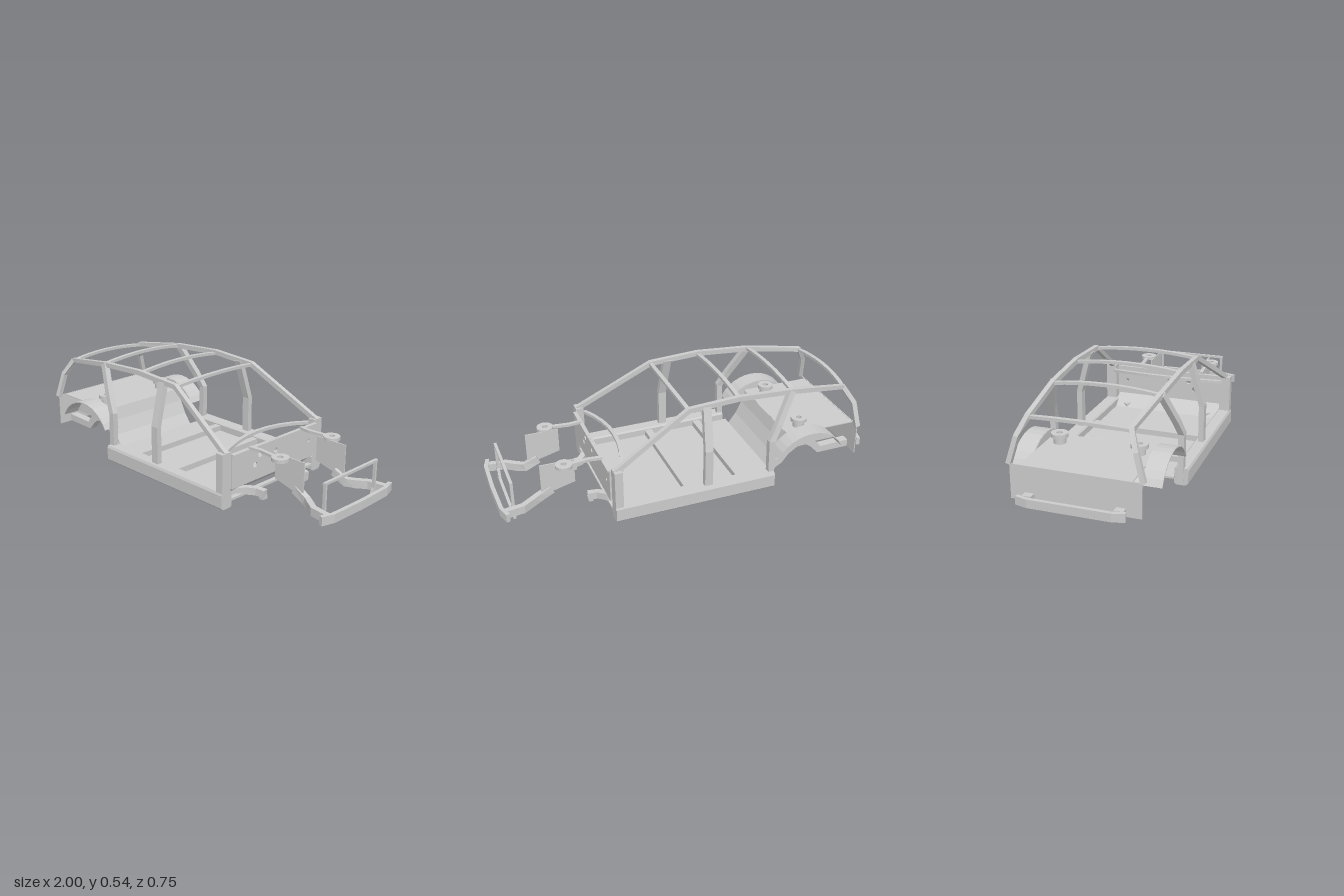
import * as THREE from 'three';

const mat = new THREE.MeshStandardMaterial({ color: 0xcccccc, flatShading: true, side: THREE.DoubleSide });
const Y = new THREE.Vector3(0, 1, 0), Z = new THREE.Vector3(0, 0, 1);

export function createModel() {
  const root = new THREE.Group();
  const add = (name, geo) => {
    const m = new THREE.Mesh(geo, mat);
    m.name = name;
    root.add(m);
    return m;
  };

  // rectangular section swept along a polyline: w across "up", h along it
  function beamGeo(path, w, h, up) {
    const p = path.map(a => new THREE.Vector3(...a)), pos = [], idx = [];
    p.forEach((c, i) => {
      const a = c.clone().sub(p[Math.max(i - 1, 0)]).normalize();
      const b = p[Math.min(i + 1, p.length - 1)].clone().sub(c).normalize();
      const t = a.add(b).normalize();
      const s = t.clone().cross(up).normalize(), n = s.clone().cross(t);
      for (const [u, v] of [[1, 1], [-1, 1], [-1, -1], [1, -1]]) {
        const q = c.clone().addScaledVector(s, u * w / 2).addScaledVector(n, v * h / 2);
        pos.push(q.x, q.y, q.z);
      }
      if (i === p.length - 1) return;
      for (let j = 0; j < 4; j++) {
        const k = (j + 1) % 4, o = i * 4;
        idx.push(o + j, o + 4 + j, o + k, o + k, o + 4 + j, o + 4 + k);
      }
    });
    const e = (p.length - 1) * 4;
    idx.push(0, 1, 2, 0, 2, 3, e, e + 2, e + 1, e, e + 3, e + 2);
    let g = new THREE.BufferGeometry();
    g.setAttribute('position', new THREE.Float32BufferAttribute(pos, 3));
    g.setIndex(idx);
    g = g.toNonIndexed();
    g.computeVertexNormals();
    return g;
  }
  const beam = (name, path, w, h, up = Y) => add(name, beamGeo(path, w, h, up));
  const pair = (name, path, w, h, up = Y) => [1, -1].forEach(s =>
    beam((s > 0 ? 'nearSide ' : 'farSide ') + name, path.map(([x, y, z]) => [x, y, z * s]), w, h, up));
  const box = (name, x0, x1, y0, y1, z0, z1) =>
    add(name, new THREE.BoxGeometry(x1 - x0, y1 - y0, z1 - z0))
      .position.set((x0 + x1) / 2, (y0 + y1) / 2, (z0 + z1) / 2);
  const shapeOf = pts => new THREE.Shape(pts.map(a => new THREE.Vector2(...a)));
  const extrude = (shape, depth) => new THREE.ExtrudeGeometry(shape, { depth, bevelEnabled: false, curveSegments: 12 });
  // gently arched bar running from side to side
  const arch = (name, x, y, halfZ, rise, bow, w, h) => beam(name,
    Array.from({ length: 9 }, (_, i) => {
      const u = i / 4 - 1, k = 1 - u * u;
      return [x + bow * k, y + rise * k, u * halfZ];
    }), w, h);

  // sills, chamfered along the bottom
  for (const s of [1, -1]) {
    const g = extrude(shapeOf([[0.302, 0.012], [0.312, 0.003], [0.36, 0.003], [0.373, 0.015],
      [0.373, 0.08], [0.367, 0.093], [0.31, 0.093], [0.302, 0.085]].map(([z, y]) => [-z * s, y])), 0.865);
    g.rotateY(Math.PI / 2);
    add('sill', g).position.x = -0.41;
  }

  // floor with toe board and cross members
  beam('floor', [[-0.43, 0.045, 0], [0.39, 0.045, 0], [0.46, 0.11, 0]], 0.61, 0.01);
  box('frontFloorEdge', 0.43, 0.455, 0.035, 0.047, -0.31, 0.31);
  for (const x of [-0.24, 0.05]) box('floorCrossMember', x - 0.02, x + 0.02, 0.047, 0.08, -0.305, 0.305);
  box('rearCrossMember', -0.475, -0.445, 0.032, 0.055, -0.25, 0.25);

  // firewall with openings
  const wall = shapeOf([[-0.312, 0.1], [0.312, 0.1], [0.312, 0.272], [0, 0.28], [-0.312, 0.272]]);
  for (const [u, y, r] of [[0, 0.215, 0.013], [-0.115, 0.226, 0.015], [-0.15, 0.181, 0.014], [0.255, 0.195, 0.009]]) {
    wall.holes.push(new THREE.Path().absarc(u, y, r, 0, Math.PI * 2, true));
  }
  add('firewall', extrude(wall, 0.008).rotateY(Math.PI / 2)).position.x = 0.458;
  box('firewallFlange', 0.455, 0.475, 0.27, 0.278, -0.31, 0.31);
  arch('cowlBar', 0.41, 0.262, 0.32, 0.018, -0.07, 0.02, 0.015);

  // pillars
  for (const s of [1, -1]) box('hingePillar', 0.415, 0.457, 0.075, 0.29, s * 0.34 - 0.029, s * 0.34 + 0.029);
  pair('middlePillar', [[-0.045, 0.09, 0.338], [-0.045, 0.29, 0.338], [-0.055, 0.515, 0.275]], 0.043, 0.028, Z);
  pair('rearDoorPillar', [[-0.4, 0.02, 0.335], [-0.395, 0.27, 0.335], [-0.44, 0.35, 0.318], [-0.53, 0.505, 0.272]], 0.034, 0.03, Z);

  // roof side rails running from windscreen pillar to tail
  pair('roofRail', [[0.45, 0.28, 0.338], [0.04, 0.51, 0.278], [-0.235, 0.523, 0.277], [-0.53, 0.503, 0.27],
    [-0.85, 0.455, 0.245], [-0.9, 0.37, 0.283], [-0.915, 0.24, 0.32]], 0.026, 0.024, Z);

  // roof bows
  arch('windscreenHeader', 0.04, 0.508, 0.28, 0.016, 0.01, 0.022, 0.015);
  arch('roofBow', -0.235, 0.515, 0.277, 0.02, 0, 0.022, 0.015);
  arch('rearRoofBow', -0.535, 0.502, 0.27, 0.02, 0, 0.022, 0.015);
  arch('tailBow', -0.85, 0.45, 0.245, 0.014, -0.02, 0.022, 0.015);

  // rear deck, seat back and tail panel
  beam('rearDeck', [[-0.92, 0.238, 0], [-0.53, 0.238, 0]], 0.54, 0.005);
  beam('seatBack', [[-0.53, 0.24, 0], [-0.51, 0.175, 0], [-0.475, 0.105, 0], [-0.43, 0.045, 0]], 0.52, 0.005);
  box('tailPanel', -0.922, -0.917, 0.07, 0.242, -0.315, 0.315);

  // rear wheel arches: curved band with a closed inner wall
  const arc = Array.from({ length: 13 }, (_, i) => {
    const a = Math.PI * (0.86 - 0.72 * i / 12);
    return [-0.617 + 0.204 * Math.cos(a), 0.09 + 0.19 * Math.sin(a)];
  });
  pair('wheelArchBand', arc.map(([x, y]) => [x, y, 0.32]), 0.095, 0.005);
  for (const s of [1, -1]) add('wheelArchWall', extrude(shapeOf(arc), 0.005)).position.z = s * 0.273 - 0.0025;

  // rear chassis rails kicked up over the axle
  pair('rearRail', [[-0.96, 0.092, 0.22], [-0.74, 0.088, 0.22], [-0.705, 0.13, 0.22], [-0.665, 0.157, 0.22],
    [-0.6, 0.155, 0.22], [-0.54, 0.115, 0.22], [-0.505, 0.07, 0.22], [-0.47, 0.05, 0.22]], 0.045, 0.04);

  // spring mounts, ring shaped
  const mount = (name, x, y, z, r, h) => {
    const g = new THREE.LatheGeometry([[0.015, 0], [r, 0], [r, h], [0.015, h], [0.015, 0]].map(a => new THREE.Vector2(...a)), 24);
    add(name, g).position.set(x, y, z);
  };
  for (const s of [1, -1]) {
    mount('rearSpringMount', -0.625, 0.272, s * 0.2, 0.042, 0.02);
    mount('rearSpringTower', -0.625, 0.235, s * 0.2, 0.03, 0.038);
    mount('frontSpringMount', 0.66, 0.274, s * 0.192, 0.043, 0.018);
  }

  // bumpers with angled ends
  beam('rearBumper', [[-0.975, 0.097, -0.26], [-0.99, 0.097, -0.2], [-0.99, 0.097, 0.2], [-0.975, 0.097, 0.26]], 0.02, 0.042);
  beam('frontBumper', [[0.965, 0.097, -0.265], [0.985, 0.097, -0.2], [0.99, 0.097, 0], [0.985, 0.097, 0.2], [0.965, 0.097, 0.265]], 0.02, 0.044);

  // front rails, inner fender panels and upper braces
  pair('frontRail', [[0.98, 0.097, 0.225], [0.88, 0.097, 0.21], [0.83, 0.097, 0.175], [0.79, 0.1, 0.15], [0.72, 0.135, 0.148]], 0.03, 0.042);
  for (const s of [1, -1]) {
    add('innerFender', extrude(shapeOf([[0.6, 0.285], [0.775, 0.285], [0.775, 0.135], [0.735, 0.12], [0.6, 0.155]]), 0.006))
      .position.z = s * 0.155 - 0.003;
  }
  pair('upperBrace', [[0.465, 0.282, 0.19], [0.53, 0.282, 0.182], [0.62, 0.282, 0.192]], 0.02, 0.014);
  pair('railStub', [[0.4, 0.05, 0.25], [0.455, 0.06, 0.2], [0.49, 0.055, 0.165], [0.54, 0.052, 0.155]], 0.032, 0.038);
  pair('railFoot', [[0.515, 0.032, 0.155], [0.54, 0.032, 0.155]], 0.034, 0.02);

  // upright radiator frame
  for (const s of [1, -1]) box('radiatorPost', 0.917, 0.932, 0.058, 0.24, s * 0.19 - 0.006, s * 0.19 + 0.006);
  box('radiatorTopBar', 0.917, 0.932, 0.234, 0.246, -0.2, 0.2);
  box('radiatorLowerBar', 0.917, 0.932, 0.035, 0.046, -0.196, 0.196);
  pair('radiatorBracket', [[0.924, 0.04, 0.17], [0.924, 0.1, 0.19]], 0.014, 0.012, Z);

  return root;
}
